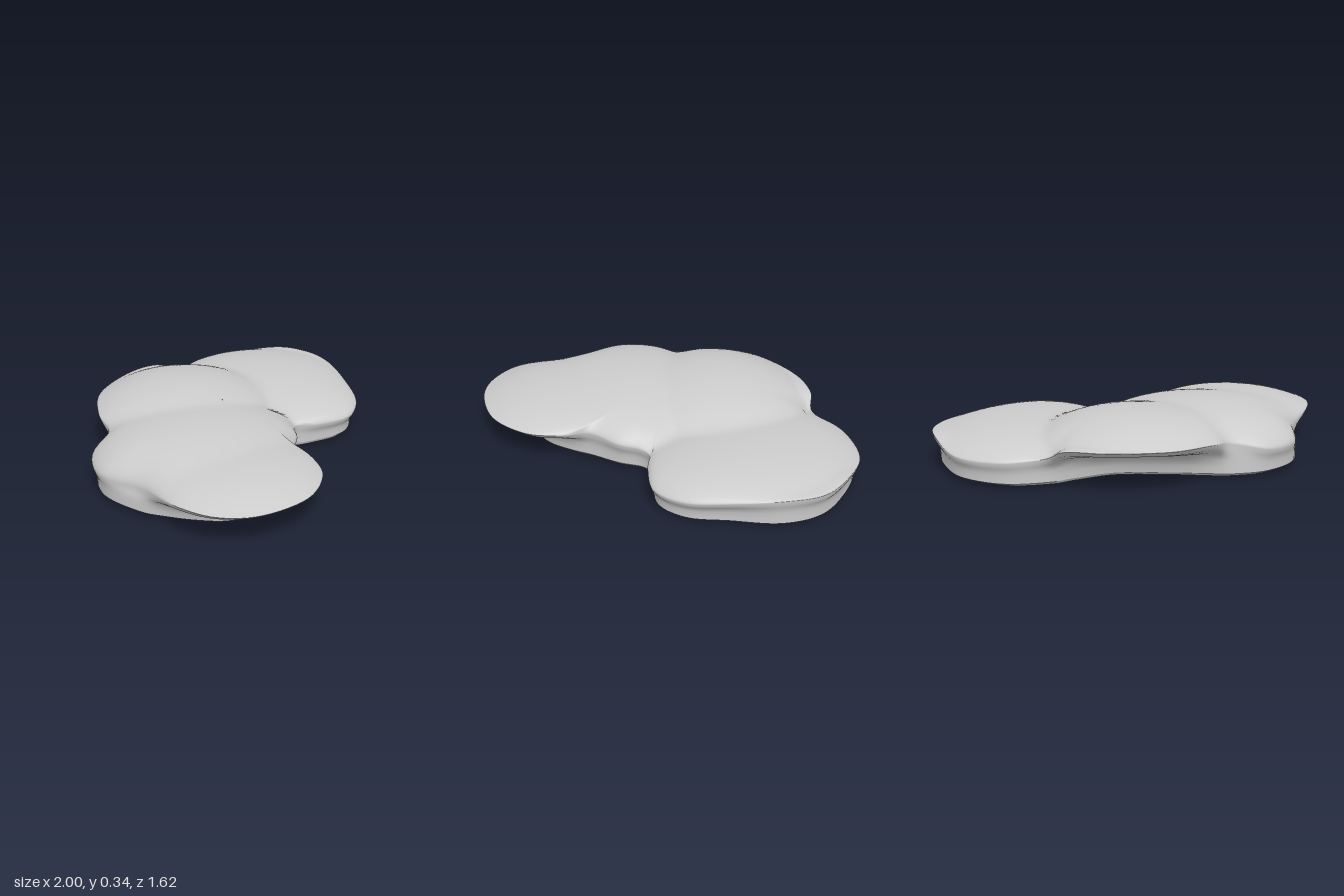
import * as THREE from 'three';

const SEGMENTS = 168;
const TOP_RINGS = 30;
const CENTRE = new THREE.Vector3(-0.1, 0, -0.05);
const FLOOR = 0.03;

// Outline, counterclockwise from above: rim x, rim z, rim height, foot x, foot z
const OUTLINE = [
  -1, 0.36, 0.19, -0.88, 0.2,
  -0.97, 0.57, 0.19, -0.82, 0.34,
  -0.83, 0.73, 0.19, -0.74, 0.46,
  -0.57, 0.81, 0.19, -0.6, 0.55,
  -0.33, 0.74, 0.19, -0.42, 0.56,
  -0.2, 0.59, 0.19, -0.28, 0.5,
  -0.15, 0.45, 0.18, -0.17, 0.43,
  0, 0.37, 0.16, -0.02, 0.35,
  0.09, 0.29, 0.15, 0.08, 0.27,
  0.16, 0.27, 0.14, 0.16, 0.26,
  0.25, 0.34, 0.13, 0.26, 0.32,
  0.43, 0.42, 0.13, 0.43, 0.39,
  0.62, 0.36, 0.14, 0.6, 0.33,
  0.78, 0.19, 0.16, 0.74, 0.17,
  0.93, -0.02, 0.18, 0.9, -0.02,
  1, -0.22, 0.18, 0.96, -0.22,
  0.95, -0.42, 0.18, 0.91, -0.41,
  0.79, -0.64, 0.14, 0.77, -0.62,
  0.55, -0.73, 0.14, 0.54, -0.71,
  0.33, -0.7, 0.16, 0.32, -0.66,
  0.22, -0.77, 0.22, 0.2, -0.58,
  0, -0.81, 0.23, 0, -0.47,
  -0.3, -0.75, 0.23, -0.3, -0.44,
  -0.5, -0.58, 0.22, -0.48, -0.44,
  -0.58, -0.44, 0.19, -0.6, -0.43,
  -0.78, -0.38, 0.15, -0.77, -0.36,
  -0.91, -0.2, 0.14, -0.9, -0.19,
  -0.91, 0.07, 0.15, -0.92, 0.05,
];

// Rounded lobes that swell out of the top
const LOBES = [
  { x: -0.57, z: 0.38, rx: 0.47, rz: 0.47, low: 0.18, top: 0.275 },
  { x: -0.42, z: 0.02, rx: 0.62, rz: 0.56, low: 0.15, top: 0.32 },
  { x: -0.1, z: -0.35, rx: 0.52, rz: 0.5, low: 0.19, top: 0.342 },
  { x: 0.52, z: -0.17, rx: 0.52, rz: 0.62, low: 0.14, top: 0.254 },
];

// Smooth maximum of the lobe domes
function topHeight(x, z) {
  const k = 0.008;
  let sum = 0;
  for (const l of LOBES) {
    const d = Math.hypot((x - l.x) / l.rx, (z - l.z) / l.rz);
    const h = d < 1 ? l.low + (l.top - l.low) * Math.pow(1 - d * d, 0.65) : l.low - (d - 1) * 0.2;
    sum += Math.exp(h / k);
  }
  return k * Math.log(sum);
}

// Closed loops joined in order, listed from the top downwards
function loft(rings) {
  const positions = [];
  const index = [];
  rings.forEach((ring) => ring.forEach((p) => positions.push(p.x, p.y, p.z)));
  for (let i = 0; i < rings.length - 1; i++) {
    for (let j = 0; j < SEGMENTS; j++) {
      const a = i * SEGMENTS + j;
      const b = i * SEGMENTS + (j + 1) % SEGMENTS;
      index.push(a, a + SEGMENTS, b + SEGMENTS, a, b + SEGMENTS, b);
    }
  }
  const geometry = new THREE.BufferGeometry();
  geometry.setAttribute('position', new THREE.Float32BufferAttribute(positions, 3));
  geometry.setIndex(index);
  geometry.computeVertexNormals();
  return geometry;
}

function loop(points) {
  const curve = new THREE.CatmullRomCurve3(points, true, 'catmullrom', 0.5);
  return Array.from({ length: SEGMENTS }, (_, j) => curve.getPoint(j / SEGMENTS));
}

export function createModel() {
  const group = new THREE.Group();
  const material = new THREE.MeshStandardMaterial({ color: 0xcccccc, roughness: 0.8 });
  const add = (name, rings) => {
    const mesh = new THREE.Mesh(loft(rings), material);
    mesh.name = name;
    group.add(mesh);
  };

  const rimPoints = [];
  const footPoints = [];
  for (let i = 0; i < OUTLINE.length; i += 5) {
    const [x, z, y, fx, fz] = OUTLINE.slice(i, i + 5);
    rimPoints.push(new THREE.Vector3(x, y, z));
    footPoints.push(new THREE.Vector3(fx, FLOOR, fz));
  }
  const rim = loop(rimPoints);
  const foot = loop(footPoints);

  // Billowing top, falling steeply to the rim
  const topRings = [];
  for (let i = 0; i <= TOP_RINGS; i++) {
    const t = Math.sin(((i + 0.02) / (TOP_RINGS + 0.02)) * Math.PI / 2);
    const edge = Math.sqrt(Math.max(0, 1 - Math.pow(t, 10)));
    topRings.push(rim.map((r) => {
      const p = CENTRE.clone().lerp(r, t);
      p.y = r.y + Math.max(topHeight(p.x, p.z) - r.y, 0.02) * edge;
      return p;
    }));
  }

  // Underside curls in from the rim, then drops to the foot
  const profile = [[0.12, 0.86], [0.4, 0.72], [0.72, 0.6], [0.9, 0.42], [0.97, 0.2], [1, 0]];
  const wallRings = profile.map(([s, f]) => rim.map((r, j) => {
    const p = r.clone().lerp(foot[j], s);
    p.y = FLOOR + (r.y - FLOOR) * f;
    return p;
  }));
  add('puffyBody', [...topRings, ...wallRings]);

  // Slightly bulged bottom
  const floorProfile = [[1, FLOOR], [0.96, 0.014], [0.85, 0.007], [0.5, 0.002], [0.001, 0]];
  add('flatBottom', floorProfile.map(([s, y]) => foot.map((f) => {
    const p = CENTRE.clone().lerp(f, s);
    p.y = y;
    return p;
  })));

  return group;
}
